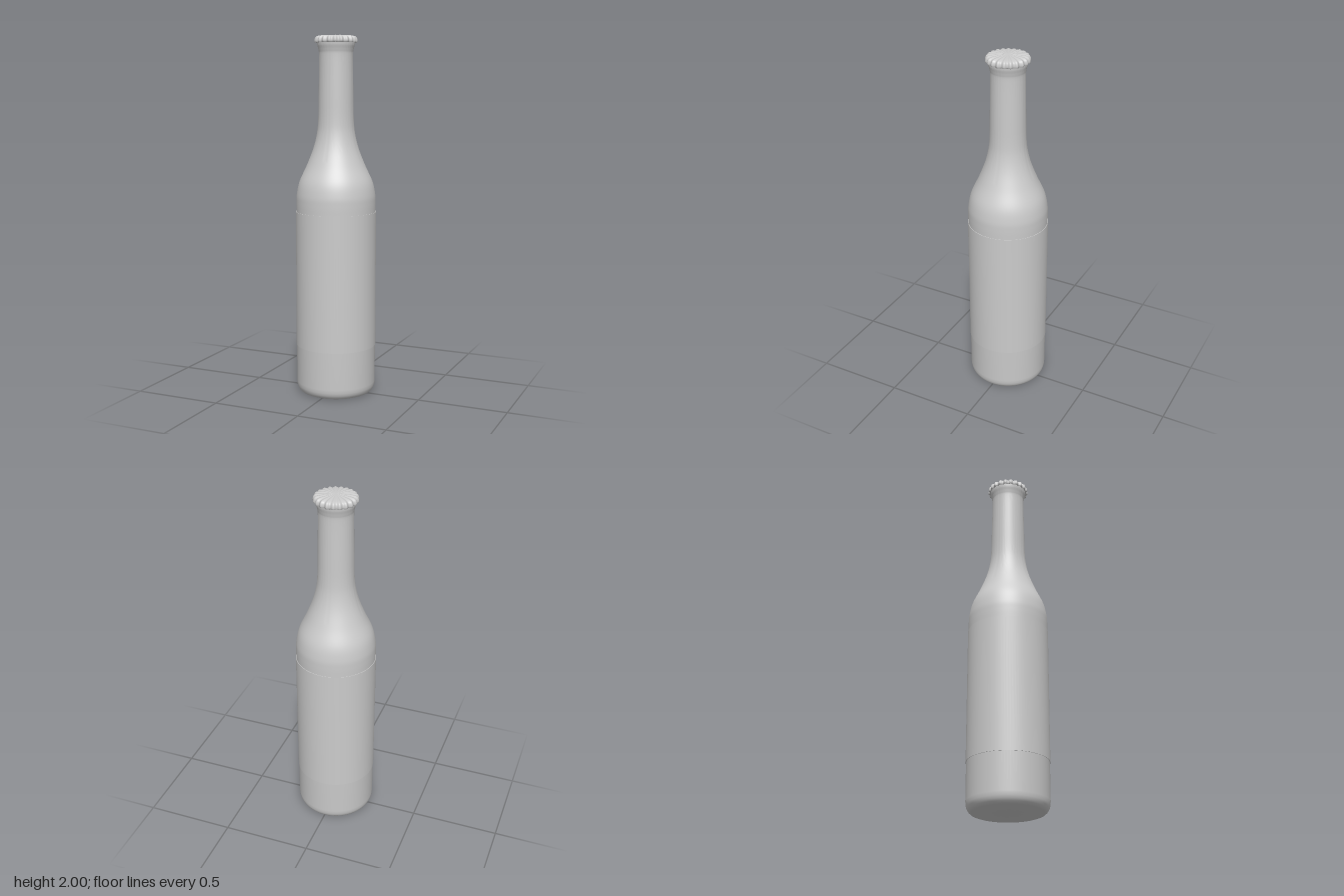
import * as THREE from 'three';
import { mergeVertices, toCreasedNormals } from 'three/addons/utils/BufferGeometryUtils.js';

const SEGMENTS = 96;
const FLUTES = 21;
const material = new THREE.MeshStandardMaterial({ color: 0xcccccc, side: THREE.DoubleSide });
const points = (list) => list.map(([r, y]) => new THREE.Vector2(r, y));

function addMesh(group, name, geometry) {
  const mesh = new THREE.Mesh(geometry, material);
  mesh.name = name;
  group.add(mesh);
}

// Bottle: rounded foot, straight body, splined shoulder and neck, flared lip
function bottleGeometry() {
  const foot = points([[0, 0], [0.19, 0], [0.2, 0.004], [0.209, 0.013], [0.216, 0.025], [0.2205, 0.04], [0.222, 0.06]]);
  const shoulder = new THREE.SplineCurve(points([
    [0.222, 1.03], [0.222, 1.08], [0.219, 1.13], [0.203, 1.2], [0.162, 1.29], [0.127, 1.38],
    [0.107, 1.46], [0.099, 1.54], [0.096, 1.68], [0.093, 1.88], [0.096, 1.92], [0.103, 1.95], [0.104, 1.975],
  ])).getPoints(60);
  return toCreasedNormals(new THREE.LatheGeometry([...foot, ...shoulder], SEGMENTS), 0.6);
}

// Label: thin sleeve standing just proud of the body
function labelGeometry() {
  const profile = points([[0.2215, 0.27], [0.2245, 0.27], [0.2245, 1.03], [0.2215, 1.03]]);
  return toCreasedNormals(new THREE.LatheGeometry(profile, SEGMENTS), 0.6);
}

// Crown cap: shallow dome whose flutes deepen towards the skirt
function capGeometry() {
  const profile = points([
    [0.102, 1.966], [0.109, 1.96], [0.113, 1.962], [0.114, 1.97], [0.1125, 1.98], [0.108, 1.989],
    [0.1, 1.994], [0.085, 1.997], [0.06, 1.9985], [0.03, 1.9995], [0, 2],
  ]);
  const geometry = new THREE.LatheGeometry(profile, FLUTES * 10);
  const position = geometry.attributes.position;
  for (let i = 0; i < position.count; i++) {
    const x = position.getX(i), y = position.getY(i), z = position.getZ(i);
    const wave = Math.cos(FLUTES * Math.atan2(z, x));
    const reach = Math.min(1, Math.hypot(x, z) / 0.112);
    const scale = 1 + 0.042 * wave * reach ** 3;
    const lift = y > 1.985 ? 0.0018 * wave * reach : 0;
    position.setXYZ(i, x * scale, Math.min(2, y + lift), z * scale);
  }
  geometry.deleteAttribute('uv');
  geometry.deleteAttribute('normal');
  const welded = mergeVertices(geometry, 1e-5);
  welded.computeVertexNormals();
  return welded;
}

export function createModel() {
  const group = new THREE.Group();
  group.name = 'bottle';
  addMesh(group, 'glassBody', bottleGeometry());
  addMesh(group, 'label', labelGeometry());
  addMesh(group, 'crownCap', capGeometry());
  return group;
}
